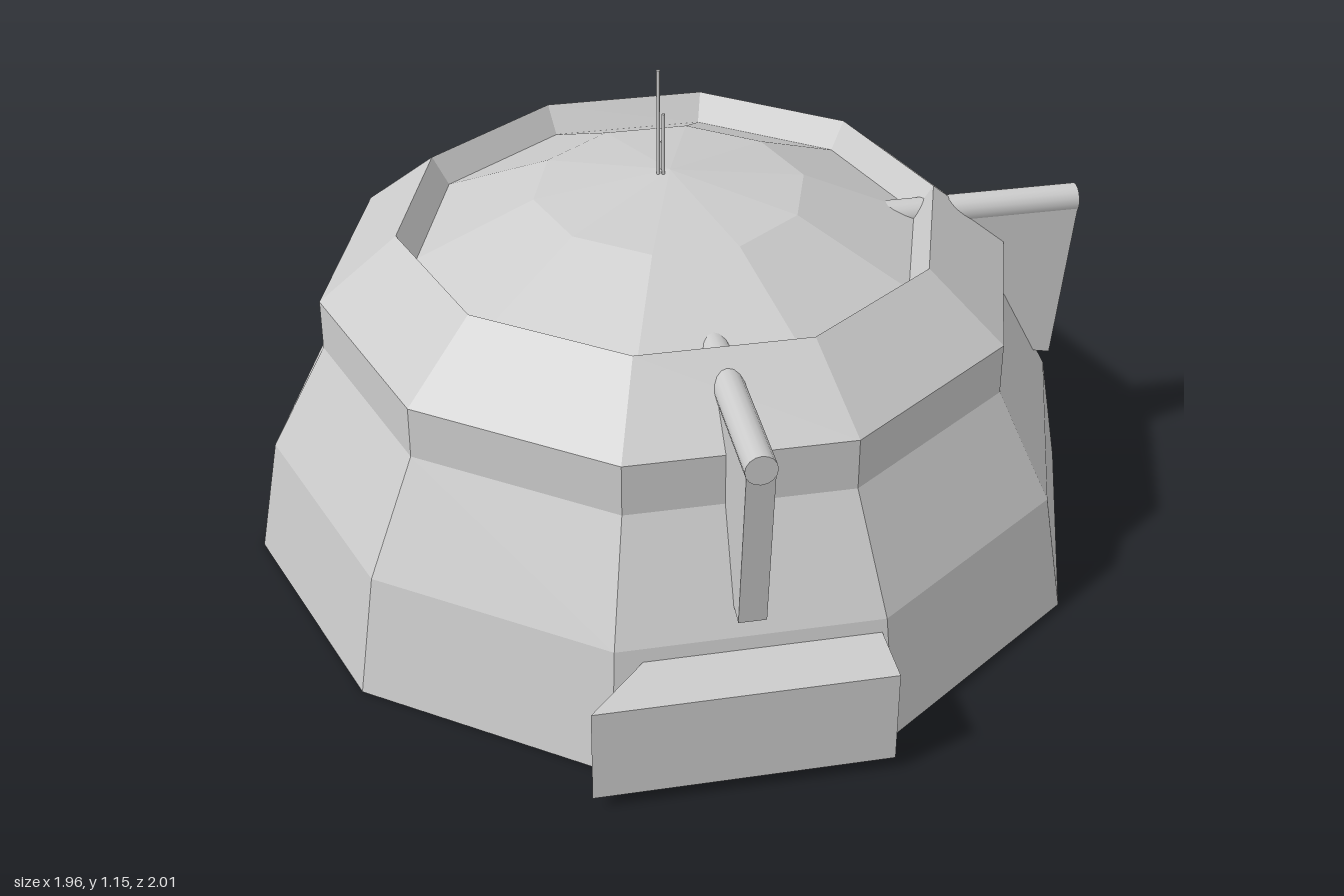
import * as THREE from 'three';

const SIDES = 10;
const TURN = THREE.MathUtils.degToRad(0.7);
const STEP = (Math.PI * 2) / SIDES;
const HALF = STEP / 2;

const material = new THREE.MeshStandardMaterial({ color: 0xcccccc, flatShading: true, side: THREE.DoubleSide });
const smooth = new THREE.MeshStandardMaterial({ color: 0xcccccc });

function part(name, geometry, mat = material) {
  let g = geometry;
  if (mat === material) {
    if (g.index) g = g.toNonIndexed();
    g.computeVertexNormals();
  }
  const mesh = new THREE.Mesh(g, mat);
  mesh.name = name;
  return mesh;
}

// Ten-sided ring surface from [radius, height] points
function ringShell(name, points) {
  const profile = points.map(([r, y]) => new THREE.Vector2(r, y));
  return part(name, new THREE.LatheGeometry(profile, SIDES, Math.PI / 2 + TURN, Math.PI * 2));
}

// Flat panel of the lowest wall, with an optional opening [x0, x1]
function wallPanel(index, opening) {
  const [r0, r1, h] = [0.98, 0.93, 0.28];
  const lean = (r0 - r1) * Math.cos(HALF);
  const slant = Math.hypot(h, lean);
  const w0 = r0 * Math.sin(HALF), w1 = r1 * Math.sin(HALF);
  const shape = new THREE.Shape([[-w0, 0], [w0, 0], [w1, slant], [-w1, slant]].map(p => new THREE.Vector2(...p)));
  if (opening) {
    const [a, b] = opening;
    shape.holes.push(new THREE.Path([[a, 0.035], [a, 0.25], [b, 0.25], [b, 0.035]].map(p => new THREE.Vector2(...p))));
  }
  const g = new THREE.ShapeGeometry(shape);
  g.rotateX(-Math.atan2(lean, h));
  g.translate(0, 0, r0 * Math.cos(HALF));
  g.rotateY(index * STEP + TURN);
  return part('wallPanel', g);
}

// Wedge fin hanging below a round bar that pierces the rim
function fin(angle, inner, outer, shift) {
  const group = new THREE.Group();
  group.name = 'fin';
  const shape = new THREE.Shape(
    [[0.65, 0.735], [0.655, 0.76], [0.88, 0.34], [0.93, 0.33], [outer - shift, 0.735]]
      .filter((p, i) => i !== 1)
      .map(([r, y]) => new THREE.Vector2(r + shift, y)));
  const blade = new THREE.ExtrudeGeometry(shape, { depth: 0.06, bevelEnabled: false });
  blade.translate(0, 0, -0.03);
  blade.rotateY(-Math.PI / 2);
  group.add(part('finBlade', blade));
  const bar = new THREE.CylinderGeometry(0.034, 0.034, outer - inner, 16);
  bar.rotateX(Math.PI / 2);
  bar.translate(0, 0.735, (inner + outer) / 2);
  group.add(part('finBar', bar, smooth));
  group.rotation.y = THREE.MathUtils.degToRad(angle);
  return group;
}

// Hollow bay, open to the inside, with one splayed end
function frontBay() {
  const g = new THREE.BoxGeometry(1, 0.22, 1);
  g.setIndex(Array.from(g.index.array).slice(0, 30));
  const p = g.attributes.position;
  for (let i = 0; i < p.count; i++) {
    const out = p.getZ(i) > 0;
    p.setX(i, p.getX(i) > 0 ? 0.277 : out ? -0.36 : -0.22);
    p.setZ(i, out ? 1.03 : 0.88);
  }
  g.translate(0, 0.14, 0);
  g.rotateY(-STEP + TURN);
  return part('frontBay', g);
}

// Open square passage with a slanted mouth
function rearPassage() {
  const rect = (C, a, b, c, d) => new C([[a, c], [b, c], [b, d], [a, d]].map(p => new THREE.Vector2(...p)));
  const shape = rect(THREE.Shape, -0.11, 0.185, 0.03, 0.25);
  shape.holes.push(rect(THREE.Path, -0.092, 0.167, 0.048, 0.232));
  const g = new THREE.ExtrudeGeometry(shape, { depth: 1, bevelEnabled: false });
  const p = g.attributes.position;
  for (let i = 0; i < p.count; i++) {
    const k = (p.getY(i) - 0.03) / 0.22;
    p.setZ(i, p.getZ(i) > 0.5 ? 1.1 - 0.065 * k : 0.92 - 0.04 * k);
  }
  g.rotateY(4 * STEP + TURN);
  return part('rearPassage', g);
}

export function createModel() {
  const model = new THREE.Group();
  model.name = 'domeBuilding';

  // Lower wall, open where the bay and passage join
  const openings = { 9: [-0.23, 0.27], 4: [-0.095, 0.17] };
  for (let i = 0; i < SIDES; i++) model.add(wallPanel(i, openings[i]));

  // Upper wall, rim and sunken roof
  model.add(ringShell('upperWall', [[0.93, 0.28], [0.8, 0.53], [0.8, 0.65], [0.62, 0.8]]));
  model.add(ringShell('rimLip', [[0.62, 0.8], [0.577, 0.737]]));
  model.add(ringShell('roof', [[0.577, 0.737], [0.31, 0.86], [0, 0.905]]));

  model.add(frontBay(), rearPassage());
  model.add(fin(-35.5, 0.47, 0.945, -0.03), fin(54.7, 0.48, 0.968, 0));

  // Antennas
  for (const [x, z, top] of [[-0.027, -0.01, 1.155], [-0.021, 0, 1.05], [-0.006, -0.02, 0.97]]) {
    const g = new THREE.CylinderGeometry(0.004, 0.004, top - 0.89, 8);
    g.translate(x, (top + 0.89) / 2, z);
    model.add(part('antenna', g, smooth));
  }
  return model;
}
